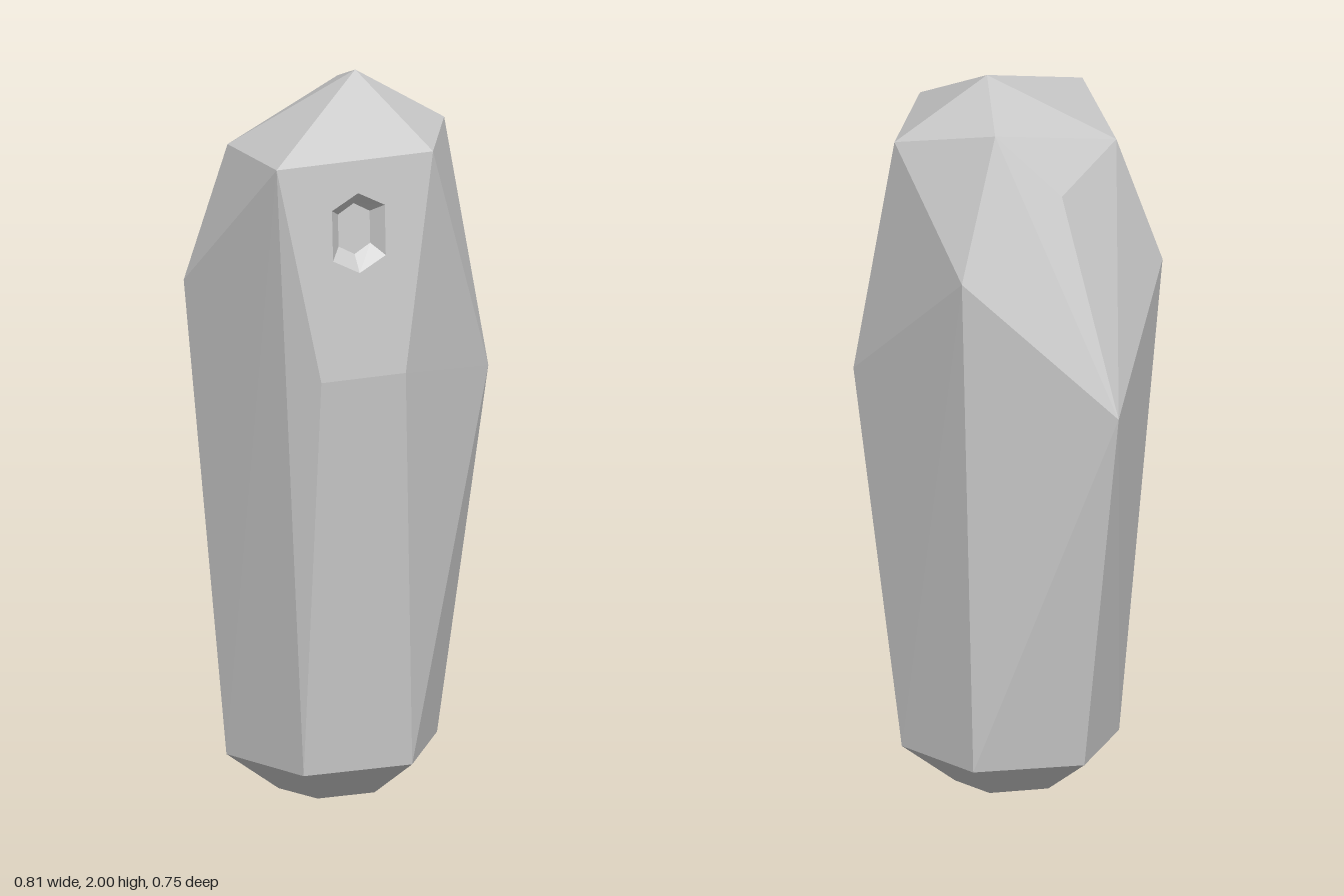
import * as THREE from 'three';
import { ConvexGeometry } from 'three/addons/geometries/ConvexGeometry.js';

const material = new THREE.MeshStandardMaterial({ color: 0xcccccc, flatShading: true });

// Plane of the front facet
const frontZ = (x, y) => 0.336 - 0.035 * (x + 0.15) - 0.06 * (y - 1.85);

// Rings of the crystal, each starting at front -x and running round by +x
const onFront = (x, y) => [x, y, frontZ(x, y)];
const rings = [
  // foot
  [[-0.08, 0, 0.135], [0.08, 0, 0.135], [0.15, 0, 0.02], [0.08, 0, -0.09], [-0.08, 0, -0.09], [-0.15, 0, 0.02]],
  // top of the foot bevel
  [[-0.16, 0.11, 0.255], [0.145, 0.11, 0.255], [0.295, 0.11, 0.02], [0.15, 0.11, -0.21], [-0.15, 0.11, -0.22], [-0.295, 0.11, 0.015]],
  // waist
  [onFront(-0.15, 1.25), onFront(0.09, 1.25), [0.405, 1.16, 0.12], [0.195, 1.53, -0.275], [-0.21, 1.15, -0.375], [-0.41, 1.45, 0]],
  // shoulder
  [onFront(-0.265, 1.85), onFront(0.18, 1.85), [0.315, 1.835, 0.02], [0.085, 1.91, -0.185], [-0.09, 1.735, -0.215], [-0.28, 1.81, -0.02]],
  // tip
  [[0.06, 2, 0.035]],
];

function addMesh(group, name, geometry) {
  const mesh = new THREE.Mesh(geometry, material);
  mesh.name = name;
  group.add(mesh);
}

// Convex body, leaving the front facet open for the panel with the socket
function bodyGeometry() {
  const hull = new ConvexGeometry(rings.flat().map((p) => new THREE.Vector3(...p)));
  const pos = hull.attributes.position;
  const kept = [];
  for (let i = 0; i < pos.count; i += 3) {
    const tri = [0, 1, 2].map((k) => [pos.getX(i + k), pos.getY(i + k), pos.getZ(i + k)]);
    if (!tri.every(([x, y, z]) => Math.abs(z - frontZ(x, y)) < 1e-4)) kept.push(...tri.flat());
  }
  return fromTriangles(kept);
}

function fromTriangles(coords) {
  const geometry = new THREE.BufferGeometry();
  geometry.setAttribute('position', new THREE.Float32BufferAttribute(coords, 3));
  geometry.computeVertexNormals();
  return geometry;
}

// Tall hexagon outline around the socket centre, counter-clockwise
function hexagon(halfWidth, halfHeight) {
  return [[0, 1], [-1, 0.63], [-1, -0.63], [0, -1], [1, -0.63], [1, 0.63]]
    .map(([u, v]) => new THREE.Vector2(-0.035 + u * halfWidth, 1.65 + v * halfHeight));
}

// Flat shape laid on the front facet plane, sunk by depth
function facetGeometry(shape, depth) {
  const geometry = new THREE.ShapeGeometry(shape);
  const pos = geometry.attributes.position;
  for (let i = 0; i < pos.count; i++) pos.setZ(i, frontZ(pos.getX(i), pos.getY(i)) - depth);
  geometry.computeVertexNormals();
  return geometry;
}

export function createModel() {
  const group = new THREE.Group();
  group.name = 'crystal';
  addMesh(group, 'crystalBody', bodyGeometry());

  // Front facet with a hexagonal opening
  const rim = hexagon(0.075, 0.11);
  const floor = hexagon(0.045, 0.07);
  const depth = 0.04;
  const panel = new THREE.Shape([rings[2][0], rings[2][1], rings[3][1], rings[3][0]]
    .map(([x, y]) => new THREE.Vector2(x, y)));
  panel.holes.push(new THREE.Path(rim));
  addMesh(group, 'frontFacet', facetGeometry(panel, 0));

  // Sloped socket walls and socket floor
  const walls = [];
  const at = (p, d) => [p.x, p.y, frontZ(p.x, p.y) - d];
  for (let i = 0; i < 6; i++) {
    const j = (i + 1) % 6;
    const a = at(rim[i], 0), b = at(rim[j], 0), c = at(floor[j], depth), d = at(floor[i], depth);
    walls.push(...a, ...b, ...c, ...a, ...c, ...d);
  }
  addMesh(group, 'socketWalls', fromTriangles(walls));
  addMesh(group, 'socketFloor', facetGeometry(new THREE.Shape(floor), depth));
  return group;
}
